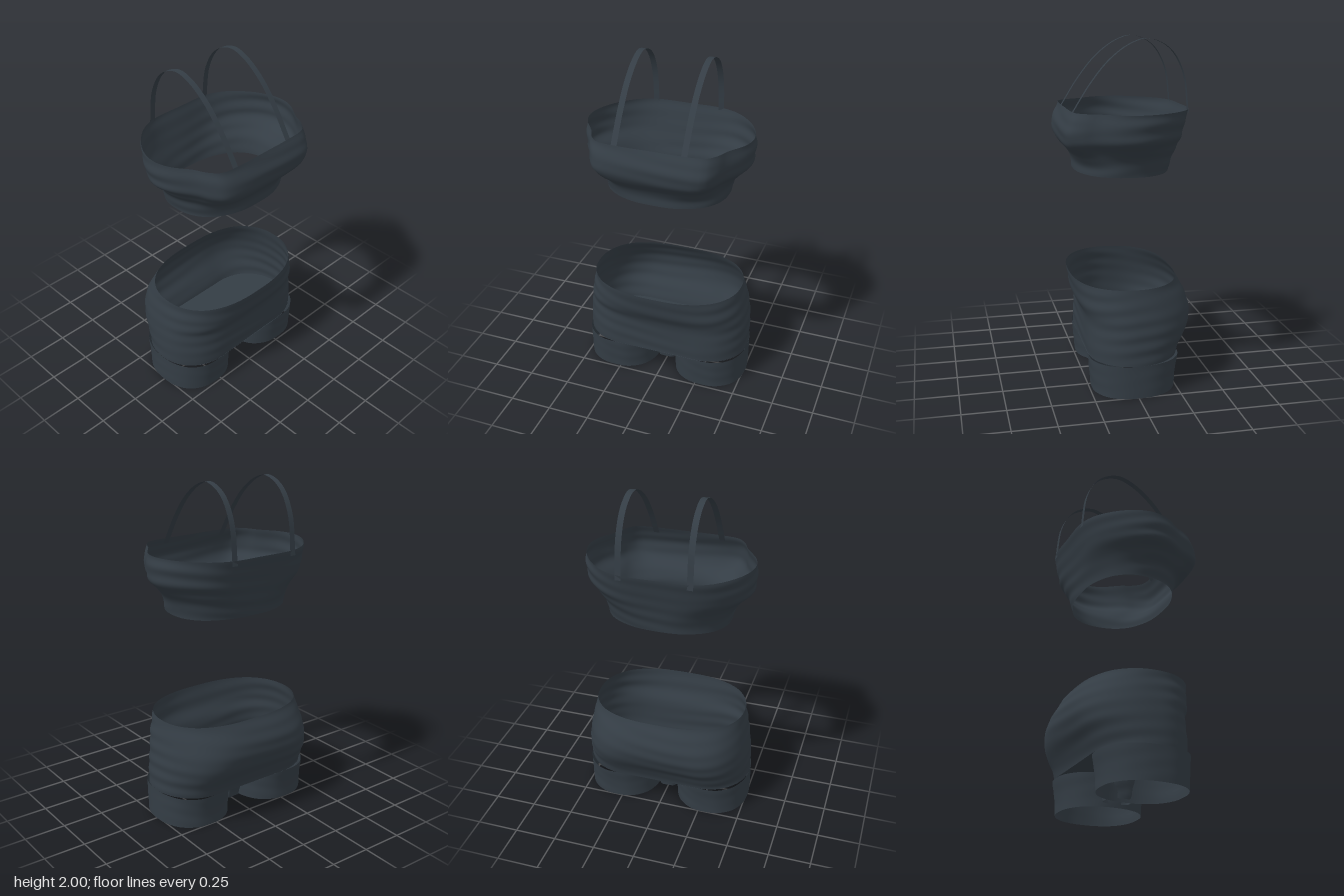
import * as THREE from 'three';

const SEGMENTS = 72;
const fabric = new THREE.MeshStandardMaterial({ color: 0x343d45, side: THREE.DoubleSide });
fabric.name = 'dark slate fabric';

// Unit outline from half a section [x, z], listed front to back and mirrored in x
function outline(half) {
  const mirrored = half.slice(1, -1).reverse().map(([x, z]) => [-x, z]);
  const pts = [...half, ...mirrored].map(([x, z]) => new THREE.Vector3(x, 0, z));
  const curve = new THREE.CatmullRomCurve3(pts, true, 'centripetal');
  return Array.from({ length: SEGMENTS }, (_, i) => curve.getPoint(i / SEGMENTS));
}

const bustOutline = outline([[0, 1], [0.35, 1], [0.63, 0.96], [0.74, 0.8], [0.81, 0.58],
  [0.95, 0.27], [1, 0], [0.97, -0.27], [0.85, -0.58], [0.63, -0.87], [0.4, -0.99], [0, -1]]);
const ovalOutline = outline([[0, 1], [0.4, 0.95], [0.76, 0.72], [0.95, 0.38], [1, 0],
  [0.95, -0.38], [0.76, -0.72], [0.4, -0.95], [0, -1]]);
const hipOutline = outline([[0, 1], [0.3, 1], [0.56, 0.99], [0.76, 0.86], [0.94, 0.5], [1, 0],
  [0.94, -0.5], [0.76, -0.86], [0.56, -0.99], [0.3, -1], [0, -1]]);

// Open tube through rings [y, half width, front z, back z, blend], from the bottom up
function loft(rings, from, to, rows, ripple = 0, centerX = 0) {
  const sample = (t, k) => {
    const f = t * (rings.length - 1);
    const i = Math.min(Math.floor(f), rings.length - 2);
    const at = (n) => rings[Math.max(0, Math.min(rings.length - 1, n))][k];
    const u = f - i;
    if (k === 0) return at(i) + (at(i + 1) - at(i)) * u;
    const m0 = (at(i + 1) - at(i - 1)) / 2, m1 = (at(i + 2) - at(i)) / 2;
    return at(i) * (2 * u ** 3 - 3 * u * u + 1) + m0 * (u ** 3 - 2 * u * u + u)
      + at(i + 1) * (3 * u * u - 2 * u ** 3) + m1 * (u ** 3 - u * u);
  };
  const position = [], index = [];
  for (let r = 0; r <= rows; r++) {
    const [y, w, zf, zb, blend] = [0, 1, 2, 3, 4].map((k) => sample(r / rows, k));
    for (let j = 0; j < SEGMENTS; j++) {
      const p = from[j].clone().lerp(to[j], blend);
      const a = (j / SEGMENTS) * Math.PI * 2;
      // Soft horizontal cloth folds
      const fold = 1 + ripple * Math.sin(y * 75 + 2 * Math.sin(a * 2 + 0.6)) * (0.6 + 0.4 * Math.sin(a * 3 + y * 9));
      position.push(centerX + p.x * w * fold, y, (p.z > 0 ? p.z * zf : -p.z * zb) * fold);
      if (r < rows) {
        const k = (j + 1) % SEGMENTS, b = r * SEGMENTS, c = b + SEGMENTS;
        index.push(b + j, b + k, c + j, b + k, c + k, c + j);
      }
    }
  }
  const geometry = new THREE.BufferGeometry();
  geometry.setAttribute('position', new THREE.Float32BufferAttribute(position, 3));
  geometry.setIndex(index);
  geometry.computeVertexNormals();
  return geometry;
}

// Flat ribbon of constant width in x following [z, y] points
function ribbon(points, width, steps) {
  const curve = new THREE.CatmullRomCurve3(points.map(([z, y]) => new THREE.Vector3(0, y, z)));
  const geometry = new THREE.PlaneGeometry(width, 1, 1, steps);
  const pos = geometry.attributes.position;
  for (let i = 0; i < pos.count; i++) {
    const p = curve.getPoint(Math.floor(i / 2) / steps);
    pos.setXYZ(i, pos.getX(i), p.y, p.z);
  }
  // Front-to-back order runs upward first, so the outer face needs reversed corners
  const order = geometry.index.array;
  for (let i = 0; i < order.length; i += 3) [order[i], order[i + 1]] = [order[i + 1], order[i]];
  geometry.computeVertexNormals();
  return geometry;
}

export function createModel() {
  const model = new THREE.Group();
  const add = (parent, name, geometry) => {
    const mesh = new THREE.Mesh(geometry, fabric);
    mesh.name = name;
    parent.add(mesh);
    return mesh;
  };

  // Cropped top
  const top = new THREE.Group();
  top.name = 'croppedTop';
  model.add(top);
  add(top, 'bandeau', loft([
    [1.25, 0.365, 0.283, -0.265, 0],
    [1.30, 0.375, 0.285, -0.275, 0.1],
    [1.35, 0.395, 0.305, -0.288, 0.4],
    [1.40, 0.435, 0.35, -0.30, 0.8],
    [1.45, 0.483, 0.37, -0.313, 1],
    [1.50, 0.492, 0.372, -0.326, 1],
    [1.555, 0.497, 0.355, -0.34, 1],
    [1.61, 0.49, 0.33, -0.355, 1],
  ], ovalOutline, bustOutline, 42, 0.007));

  // Shoulder straps
  const strap = ribbon([[0.325, 1.58], [0.21, 1.76], [0.1, 1.89], [-0.02, 1.975], [-0.12, 2],
    [-0.24, 1.945], [-0.32, 1.81], [-0.352, 1.58]], 0.035, 40);
  add(top, 'rightStrap', strap).position.x = -0.211;
  add(top, 'leftStrap', strap).position.x = 0.194;

  // Shorts
  const shorts = new THREE.Group();
  shorts.name = 'shorts';
  model.add(shorts);
  add(shorts, 'hips', loft([
    [0.195, 0.511, 0.248, -0.272, 1],
    [0.27, 0.511, 0.25, -0.3, 1],
    [0.345, 0.507, 0.25, -0.345, 0.9],
    [0.42, 0.5, 0.258, -0.37, 0.7],
    [0.49, 0.489, 0.292, -0.368, 0.5],
    [0.56, 0.475, 0.304, -0.34, 0.3],
    [0.63, 0.46, 0.318, -0.30, 0.2],
  ], ovalOutline, hipOutline, 42, 0.006));

  // Flat inner panel where the hips meet the legs
  const panel = new THREE.Shape(hipOutline.map((p) =>
    new THREE.Vector2(p.x * 0.511, p.z > 0 ? -p.z * 0.25 : -p.z * 0.272)));
  const panelGeometry = new THREE.ShapeGeometry(panel);
  panelGeometry.rotateX(-Math.PI / 2);
  add(shorts, 'innerPanel', panelGeometry).position.y = 0.195;

  // Short open legs
  for (const [name, side] of [['rightLeg', -1], ['leftLeg', 1]]) {
    add(shorts, name, loft([
      [0, 0.225, 0.235, -0.25, 0],
      [0.1, 0.226, 0.243, -0.256, 0],
      [0.195, 0.226, 0.25, -0.272, 0],
    ], ovalOutline, ovalOutline, 10, 0.004, side * 0.286));
  }

  // Gusset joining the legs
  add(shorts, 'gusset', loft([
    [0.02, 0.065, 0.07, -0.09, 1],
    [0.1, 0.07, 0.085, -0.11, 1],
    [0.195, 0.075, 0.1, -0.13, 1],
  ], ovalOutline, hipOutline, 10, 0.03));

  return model;
}
